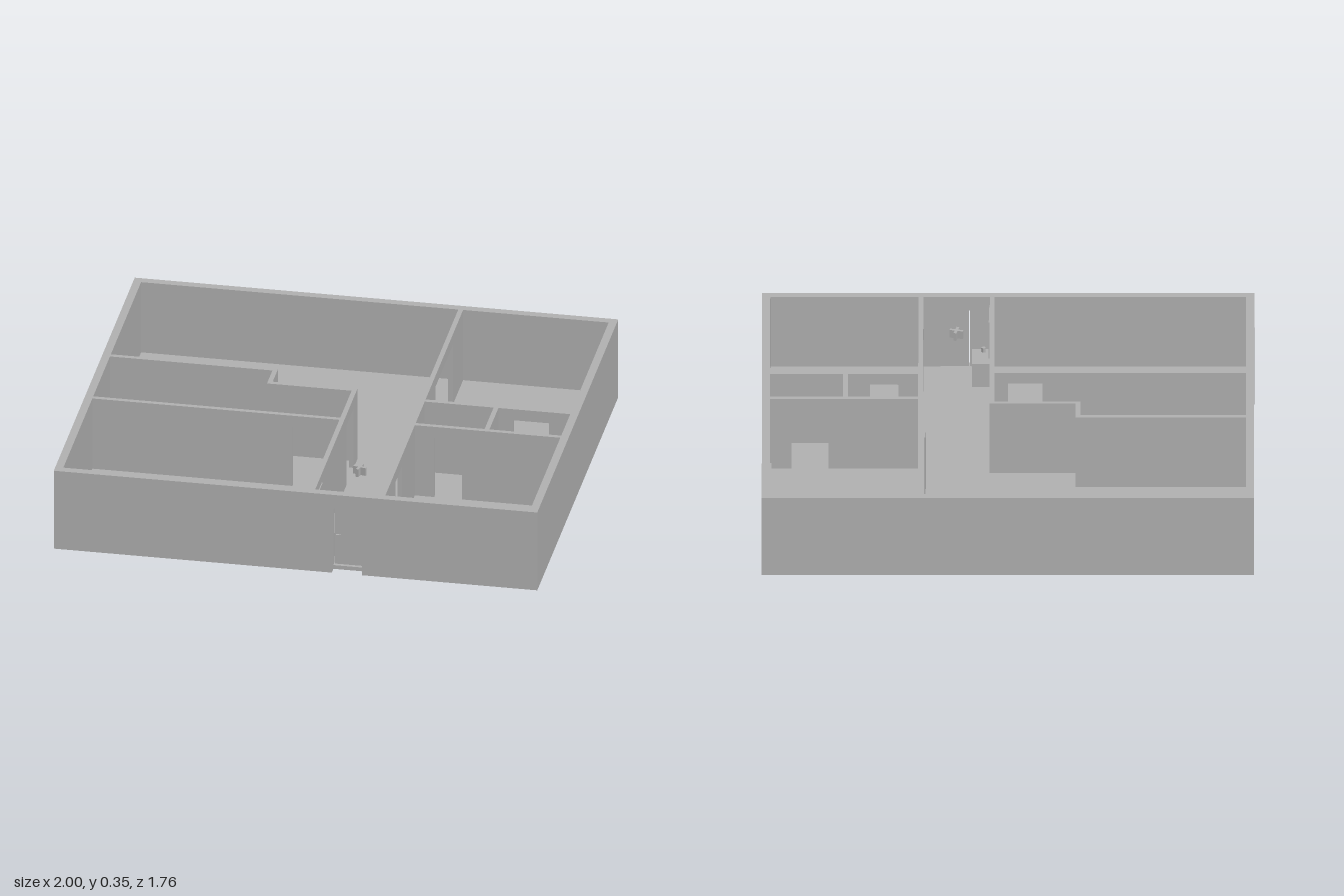
import * as THREE from 'three';

const HEIGHT = 0.355, FLOOR = 0.035, HEAD = 0.305;

export function createModel() {
  const model = new THREE.Group();
  model.name = 'floorPlanHouse';
  const grey = new THREE.MeshStandardMaterial({ color: 0xb2b2b2 });
  grey.name = 'plaster grey';

  // Box given by its lower and upper limits on each axis
  function block(name, x0, x1, y0, y1, z0, z1, parent = model) {
    const mesh = new THREE.Mesh(new THREE.BoxGeometry(x1 - x0, y1 - y0, z1 - z0), grey);
    mesh.position.set((x0 + x1) / 2, (y0 + y1) / 2, (z0 + z1) / 2);
    mesh.name = name;
    parent.add(mesh);
    return mesh;
  }

  // Wall running along x or z from a to b, between c0 and c1 across, with doorways [start, end]
  function wall(name, axis, a, b, c0, c1, doorways = []) {
    const shape = new THREE.Shape();
    shape.moveTo(a, 0);
    for (const [s, e] of doorways) {
      shape.lineTo(s, 0);
      shape.lineTo(s, HEAD);
      shape.lineTo(e, HEAD);
      shape.lineTo(e, 0);
    }
    shape.lineTo(b, 0);
    shape.lineTo(b, HEIGHT);
    shape.lineTo(a, HEIGHT);
    const geometry = new THREE.ExtrudeGeometry(shape, { depth: c1 - c0, bevelEnabled: false });
    if (axis === 'x') geometry.translate(0, 0, c0);
    else {
      // Mirror-free swap: length goes to +z, thickness to -x
      geometry.rotateY(-Math.PI / 2);
      geometry.translate(c1, 0, 0);
    }
    const mesh = new THREE.Mesh(geometry, grey);
    mesh.name = name;
    model.add(mesh);
  }

  // Floor slab, set a little above the foot of the walls
  block('floor', -0.97, 0.97, 0.018, FLOOR, -0.85, 0.85);
  block('doorThreshold', 0.15, 0.275, 0.018, FLOOR, 0.85, 0.88);

  // Outer walls
  wall('frontWall', 'x', -1, 1, 0.845, 0.88, [[0.15, 0.275]]);
  wall('backWall', 'x', -1, 1, -0.88, -0.845);
  wall('rightSideWall', 'z', -0.845, 0.845, -1, -0.967);
  wall('leftSideWall', 'z', -0.845, 0.845, 0.967, 1);

  // Inner walls on the -x side: stepped partition, corridor wall and room divider
  wall('steppedWallOuter', 'x', -0.967, -0.275, -0.188, -0.168);
  wall('steppedWallReturn', 'z', -0.168, -0.05, -0.295, -0.275);
  wall('steppedWallInner', 'x', -0.275, 0.075, -0.07, -0.05);
  wall('corridorWallRight', 'z', -0.05, 0.845, 0.055, 0.075, [[0.01, 0.165]]);
  wall('bedroomDivider', 'x', -0.967, 0.055, 0.195, 0.215, [[-0.14, 0]]);

  // Inner walls on the +x side: corridor wall, room dividers and closet partition
  wall('corridorWallLeft', 'z', -0.845, 0.845, 0.345, 0.365, [[-0.62, -0.25], [0.48, 0.63]]);
  wall('kitchenDivider', 'x', 0.365, 0.967, -0.03, -0.01, [[0.73, 0.88]]);
  wall('bathroomDivider', 'x', 0.365, 0.967, 0.185, 0.205, [[0.445, 0.56]]);
  wall('closetPartition', 'z', -0.01, 0.185, 0.65, 0.67);
  block('skirting', 0.96, 0.967, FLOOR, 0.06, -0.845, -0.03);

  // Entrance door with frame and handle
  const door = new THREE.Group();
  door.name = 'entranceDoor';
  model.add(door);
  block('doorFrameTop', 0.15, 0.275, 0.292, HEAD, 0.847, 0.878, door);
  block('doorFrameSide', 0.15, 0.156, FLOOR, 0.292, 0.847, 0.878, door);
  block('doorLeaf', 0.16, 0.275, FLOOR, 0.292, 0.85, 0.865, door);
  block('doorHandle', 0.165, 0.185, 0.165, 0.17, 0.865, 0.872, door);

  // Sliding leaf beside the wide opening
  block('slidingDoor', 0.334, 0.341, FLOOR, 0.295, -0.25, -0.06);

  // Hall cabinet with a small knob and a mirror on the wall
  block('hallCabinet', 0.075, 0.147, FLOOR, 0.14, 0.67, 0.8);
  const knob = new THREE.Mesh(new THREE.CylinderGeometry(0.008, 0.008, 0.02, 16), grey);
  knob.name = 'cabinetKnob';
  knob.position.set(0.1, 0.15, 0.775);
  model.add(knob);
  block('hallMirror', 0.075, 0.079, 0.15, 0.315, 0.7, 0.83);

  // Cross-shaped ceiling lamp
  const lamp = new THREE.Group();
  lamp.name = 'crossLamp';
  lamp.position.set(0.21, 0.325, 0.585);
  lamp.rotation.y = -0.25;
  for (let i = 0; i < 2; i++) {
    const bar = new THREE.Mesh(new THREE.BoxGeometry(0.056, 0.035, 0.012), grey);
    bar.name = 'lampBar';
    bar.rotation.y = i * Math.PI / 2;
    lamp.add(bar);
  }
  model.add(lamp);

  return model;
}
